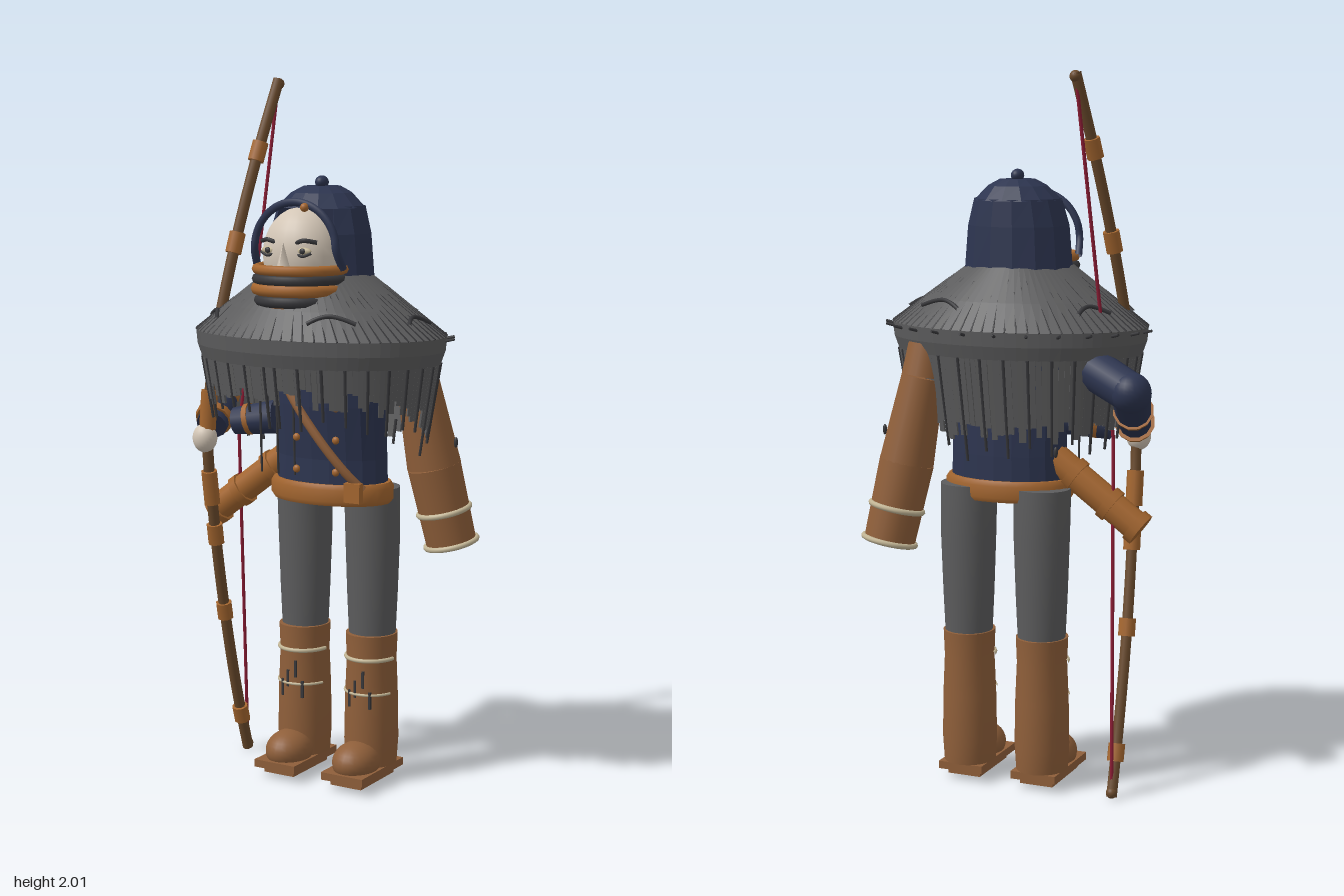
import * as THREE from 'three';

const mat = (name, color, double) => {
  const m = new THREE.MeshStandardMaterial({ color });
  m.name = name;
  if (double) m.side = THREE.DoubleSide;
  return m;
};
const V = (x, y, z) => new THREE.Vector3(x, y, z);

// skin through elliptical rings [y, cx, cz, rx, rz]; angle 0 faces +z
function loft(rings, seg = 32, flat = false, a0 = 0, a1 = Math.PI * 2, caps = true) {
  const pos = [], idx = [], full = a1 - a0 > 6.28, n = full ? seg : seg + 1;
  const ring = ([y, cx, cz, rx, rz]) => {
    for (let i = 0; i < n; i++) {
      const a = a0 + (a1 - a0) * i / seg;
      pos.push(cx + rx * Math.sin(a), y, cz + rz * Math.cos(a));
    }
  };
  rings.forEach(ring);
  for (let r = 0; r < rings.length - 1; r++) for (let i = 0; i < seg; i++) {
    const a = r * n + i, b = r * n + (i + 1) % n;
    idx.push(a, b, b + n, a, b + n, a + n);
  }
  if (caps && full) [rings[0], rings[rings.length - 1]].forEach((r, k) => {
    const s = pos.length / 3;
    ring(r);
    pos.push(r[1], r[0], r[2]);
    for (let i = 0; i < n; i++) {
      const j = (i + 1) % n;
      if (k) idx.push(s + i, s + j, s + n); else idx.push(s + j, s + i, s + n);
    }
  });
  let g = new THREE.BufferGeometry();
  g.setAttribute('position', new THREE.Float32BufferAttribute(pos, 3));
  g.setIndex(idx);
  if (flat) g = g.toNonIndexed();
  g.computeVertexNormals();
  return g;
}

export function createModel() {
  const root = new THREE.Group();
  root.name = 'hoodedArcher';
  const navy = mat('navy cloth', 0x2d3550, true), grey = mat('grey wool', 0x5c5c5d, true);
  const dark = mat('charcoal', 0x37373a), leather = mat('brown leather', 0x8f5f3a);
  const tan = mat('tan leather', 0xa4662f), wood = mat('bow wood', 0x6a4a2c);
  const cream = mat('cream cord', 0xc2b595), skin = mat('skin', 0xd3c6b6), red = mat('red string', 0x8c1c34);
  const CX = 0.035;
  let seed = 7;
  const rnd = () => (seed = (seed * 16807) % 2147483647) / 2147483647;

  const add = (name, geo, m, x = 0, y = 0, z = 0, parent = root) => {
    const o = new THREE.Mesh(geo, m);
    o.name = name;
    o.position.set(x, y, z);
    parent.add(o);
    return o;
  };
  // cylinder from a to b
  const rod = (name, a, b, ra, rb, m, seg = 20) => {
    const d = b.clone().sub(a), c = a.clone().add(b).multiplyScalar(0.5);
    const o = add(name, new THREE.CylinderGeometry(rb, ra, d.length(), seg), m, c.x, c.y, c.z);
    o.quaternion.setFromUnitVectors(V(0, 1, 0), d.normalize());
    return o;
  };
  const ball = (name, m, x, y, z, rx, ry = rx, rz = rx) => {
    const o = add(name, new THREE.SphereGeometry(1, 24, 16), m, x, y, z);
    o.scale.set(rx, ry, rz);
    return o;
  };
  const tube = (name, pts, r, m, seg = 24, closed = false) =>
    add(name, new THREE.TubeGeometry(new THREE.CatmullRomCurve3(pts, closed), seg, r, 8, closed), m);
  const hoop = (name, x, y, z, rx, rz, r, m, a0 = 0, a1 = Math.PI * 2) => {
    const closed = a1 - a0 > 6.28, pts = [];
    for (let i = 0; i < 20 + (closed ? 0 : 1); i++) {
      const a = a0 + (a1 - a0) * i / 20;
      pts.push(V(x + rx * Math.sin(a), y, z + rz * Math.cos(a)));
    }
    return tube(name, pts, r, m, 48, closed);
  };

  // legs and boots
  for (const x of [-0.085, 0.14]) {
    add('trouserLeg', loft([[0.4, x, -0.095, 0.066, 0.066], [0.55, x, -0.095, 0.073, 0.072],
      [0.72, x, -0.095, 0.079, 0.077], [0.86, x, -0.09, 0.08, 0.08]]), grey);
    add('bootShaft', loft([[0.05, x, -0.09, 0.073, 0.08], [0.12, x, -0.092, 0.077, 0.083], [0.25, x, -0.092, 0.075, 0.08],
      [0.36, x, -0.092, 0.07, 0.077], [0.435, x, -0.092, 0.073, 0.08]]), leather);
    ball('bootToe', leather, x, 0.07, -0.005, 0.066, 0.058, 0.08);
    add('sole', new THREE.BoxGeometry(0.135, 0.022, 0.24), leather, x, 0.039, -0.04);
    add('heel', new THREE.BoxGeometry(0.1, 0.02, 0.19), leather, x, 0.019, -0.04);
    hoop('bootCord', x, 0.365, -0.092, 0.072, 0.079, 0.006, cream, -1.5, 1.5);
    hoop('bootCordLower', x, 0.265, -0.092, 0.075, 0.08, 0.004, cream, -1.3, 1.3);
    [-0.03, -0.01, 0.015, 0.035].forEach((d, i) =>
      add('lace', new THREE.BoxGeometry(0.007, 0.05, 0.008), dark, x + d, 0.25 + (i % 3) * 0.03, -0.013 - Math.abs(d) * 0.2));
  }

  // coat, belt, strap and buttons
  add('coat', loft([[0.83, CX, -0.045, 0.172, 0.112], [0.95, CX, -0.045, 0.168, 0.112], [1.1, CX, -0.035, 0.168, 0.118],
    [1.25, CX, -0.03, 0.17, 0.12], [1.36, CX, -0.01, 0.12, 0.1]], 20, true), navy);
  add('belt', loft([[0.822, CX, -0.045, 0.18, 0.118], [0.835, CX, -0.045, 0.189, 0.125],
    [0.868, CX, -0.045, 0.189, 0.125], [0.882, CX, -0.045, 0.18, 0.118]]), tan);
  add('buckle', new THREE.BoxGeometry(0.05, 0.055, 0.02), tan, 0.165, 0.865, 0.06);
  const strap = [];
  for (let i = 0; i <= 8; i++) {
    const x = -0.1 + 0.28 * i / 8;
    strap.push(V(x, 1.22 - 0.35 * i / 8, -0.037 + 0.122 * Math.sqrt(1 - ((x - CX) / 0.178) ** 2)));
  }
  tube('chestStrap', strap, 0.013, leather);
  for (const x of [-0.012, 0.115]) for (const y of [0.92, 1.01, 1.1])
    ball('button', tan, x, y, 0.072, 0.011, 0.011, 0.008);

  // left arm in a wide sleeve
  const sleeve = [V(0.245, 1.25, -0.13), V(0.255, 1.16, -0.145), V(0.295, 0.92, -0.172), V(0.337, 0.69, -0.205)];
  rod('leftShoulder', V(0.15, 1.27, -0.05), sleeve[0], 0.06, 0.06, leather);
  rod('leftUpperSleeve', sleeve[0], sleeve[1], 0.056, 0.061, leather);
  rod('leftMidSleeve', sleeve[1], sleeve[2], 0.061, 0.077, leather);
  rod('leftLowerSleeve', sleeve[2], sleeve[3], 0.077, 0.072, leather);
  const axis = sleeve[3].clone().sub(sleeve[2]).normalize();
  for (const t of [0.56, 0.97]) {
    const p = sleeve[2].clone().lerp(sleeve[3], t);
    add('sleeveCord', new THREE.TorusGeometry(0.074, 0.008, 8, 32), cream, p.x, p.y, p.z)
      .quaternion.setFromUnitVectors(V(0, 0, 1), axis);
  }
  for (const d of [0, 0.02])
    rod('redTassel', V(0.26 + d, 1.13, -0.08), V(0.3 + d, 1.17, -0.07), 0.004, 0.004, red, 6);

  // right arm reaching back at the elbow and forward to the bow
  const elbow = V(-0.365, 1.15, -0.145), wrist = V(-0.3, 1.02, 0.07);
  rod('rightUpperArm', V(-0.1, 1.25, -0.02), elbow, 0.06, 0.055, navy, 12);
  ball('elbow', navy, elbow.x, elbow.y, elbow.z, 0.056);
  rod('rightForearm', elbow, wrist, 0.055, 0.045, navy, 12);
  for (const t of [0.5, 0.85]) {
    const p = elbow.clone().lerp(wrist, t), q = elbow.clone().lerp(wrist, t + 0.07);
    rod('rightCuff', p, q, 0.057, 0.053, tan, 12);
  }
  ball('rightHand', skin, -0.293, 0.99, 0.115, 0.036, 0.042, 0.034);
  rod('coatFlap', V(-0.12, 1.05, 0), V(-0.25, 1.03, 0.02), 0.05, 0.04, navy, 12);
  rod('coatFlapBand', V(-0.2, 1.04, 0.012), V(-0.215, 1.037, 0.015), 0.047, 0.045, tan, 12);

  // quiver at the right hip
  const q0 = V(-0.1, 0.945, -0.05), q1 = V(-0.355, 0.75, -0.03);
  rod('quiver', q0, q1, 0.042, 0.042, tan, 10);
  for (const t of [0.25, 0.65, 0.96])
    rod('quiverBand', q0.clone().lerp(q1, t - 0.04), q0.clone().lerp(q1, t + 0.04), 0.049, 0.049, tan, 10);

  // bow, bindings and drawn string
  const bow = new THREE.CatmullRomCurve3([V(-0.195, 2, -0.13), V(-0.22, 1.79, -0.055), V(-0.25, 1.52, 0.025), V(-0.272, 1.25, 0.09),
    V(-0.287, 1, 0.11), V(-0.295, 0.75, 0.07), V(-0.305, 0.45, 0), V(-0.308, 0.2, -0.065), V(-0.312, 0.005, -0.13)]);
  add('bow', new THREE.TubeGeometry(bow, 60, 0.016, 8), wood);
  for (const t of [0, 1]) {
    const p = bow.getPoint(t);
    ball('bowTip', wood, p.x, p.y + (t ? 0.012 : -0.012), p.z, 0.016);
  }
  for (const [t, h] of [[0.105, 0.028], [0.235, 0.03], [0.47, 0.06], [0.58, 0.05], [0.65, 0.03], [0.77, 0.025], [0.94, 0.025]]) {
    const p = bow.getPointAt(t), d = bow.getTangentAt(t).multiplyScalar(h);
    rod('bowBinding', p.clone().sub(d), p.clone().add(d), 0.024, 0.024, tan, 8);
  }
  const nock = V(-0.272, 1, -0.03);
  rod('upperString', bow.getPoint(0), nock, 0.005, 0.005, red, 6);
  rod('lowerString', nock, bow.getPoint(1), 0.005, 0.005, red, 6);

  // pleated cape
  const capeRings = [[1.215, CX, 0.025, 0.355, 0.24], [1.265, CX, 0.025, 0.373, 0.255], [1.305, CX, 0.025, 0.377, 0.258],
    [1.38, CX, 0.03, 0.275, 0.213], [1.47, CX, 0.035, 0.15, 0.14]];
  add('cape', loft(capeRings, 72, true, 0, Math.PI * 2, false), grey);
  const onCape = (a, t, lift = 0.004) => {
    const [r, s] = t < 0.45 ? [capeRings[2], capeRings[3]] : [capeRings[3], capeRings[4]];
    const k = t < 0.45 ? t / 0.45 : (t - 0.45) / 0.55, e = r.map((v, i) => v + (s[i] - v) * k);
    return V(e[1] + e[3] * Math.sin(a), e[0] + lift, e[2] + e[4] * Math.cos(a));
  };
  for (let i = 0; i < 72; i++) {
    const a = i * Math.PI / 36;
    rod('pleat', onCape(a, 0, 0), onCape(a, 0.35 + 0.5 * rnd(), 0), 0.003, 0.001, dark, 4);
  }
  for (const [a, b, t] of [[-1.35, -0.75, 0.2], [0.3, 0.75, 0.25], [1.3, 1.75, 0.2], [2.3, 2.85, 0.3], [-2.3, -1.9, 0.25]]) {
    const pts = [0, 0.25, 0.5, 0.75, 1].map(k => onCape(a + (b - a) * k, t + 0.12 * Math.sin(k * Math.PI)));
    tube('capeFold', pts, 0.006, dark, 16);
  }
  // fringe: dense strips, longer to the rear, with loose threads
  for (let i = 0; i < 130; i++) {
    const a = i * Math.PI * 2 / 130, back = (1 - Math.cos(a)) / 2;
    const len = 0.05 + 0.14 * back + rnd() * 0.06, w = 0.014 + rnd() * 0.006;
    const p = V(CX + 0.357 * Math.sin(a), 1.23, 0.025 + 0.241 * Math.cos(a));
    const g = new THREE.Group();
    g.name = 'fringe';
    g.position.copy(p);
    g.rotation.set(0.16, Math.atan2(Math.sin(a) / 0.357, Math.cos(a) / 0.241), 0, 'YXZ');
    root.add(g);
    add('fringeStrip', new THREE.BoxGeometry(w, len, 0.006), grey, 0, -len / 2, 0, g);
    if (i % 4 === 0) {
      const l = len + 0.03 + rnd() * 0.05;
      add('looseThread', new THREE.CylinderGeometry(0.005, 0.004, l, 6), dark, 0.004, -l / 2, 0.002, g);
    }
    if (i % 5 === 2 && back > 0.5)
      rod('hemKnot', V(p.x, 1.29, p.z), V(CX + 0.4 * Math.sin(a), 1.3, 0.025 + 0.278 * Math.cos(a)), 0.005, 0.004, dark, 6);
  }
  for (const x of [-0.13, -0.075, -0.02])
    rod('hangingThread', V(x, 1.2, 0.08), V(x, 0.9, 0.068), 0.004, 0.003, dark, 6);
  for (const [x, z] of [[-0.205, -0.285], [0.385, -0.13]]) ball('looseBead', dark, x, 1, z, 0.006, 0.015, 0.006);

  // head and face
  ball('head', skin, CX, 1.525, 0.115, 0.112, 0.13, 0.1);
  for (const s of [-1, 1]) {
    const x = CX + s * 0.055;
    tube('brow', [V(x - 0.032, 1.56 - s * 0.003, 0.197 - (s < 0 ? 0.014 : 0)), V(x, 1.568, 0.204),
      V(x + 0.032, 1.56 + s * 0.003, 0.197 - (s > 0 ? 0.014 : 0))], 0.006, dark, 12);
    ball('eye', cream, x, 1.54, 0.2, 0.024, 0.01, 0.008);
    ball('pupil', dark, x, 1.54, 0.206, 0.009, 0.008, 0.005);
    tube('lowerLid', [V(x - 0.025, 1.535, 0.2), V(x, 1.526, 0.207), V(x + 0.025, 1.535, 0.2)], 0.004, dark, 12);
  }
  add('nose', new THREE.ConeGeometry(0.024, 0.075, 4), skin, CX, 1.525, 0.215);

  // layered face wrap
  add('wrapLining', loft([[1.385, CX, 0.125, 0.118, 0.115], [1.49, CX, 0.125, 0.123, 0.117]]), leather);
  [[1.487, tan, 0.014], [1.46, dark, 0.014], [1.433, tan, 0.017], [1.402, dark, 0.015]].forEach(([y, m, r], i) =>
    hoop('wrapBand', CX, y, 0.125, 0.121 - (i === 3 ? 0.008 : 0), 0.118, r, m));

  // faceted hood with open front, crown, button and rim
  add('hood', loft([[1.45, CX, 0.02, 0.157, 0.128], [1.58, CX, 0.02, 0.146, 0.122], [1.655, CX, 0.015, 0.125, 0.11]],
    11, true, 0.75, Math.PI * 2 - 0.75), navy);
  add('hoodCrown', loft([[1.65, CX, 0.02, 0.126, 0.118], [1.69, CX, 0.015, 0.085, 0.085], [1.708, CX, 0.013, 0.05, 0.055]],
    14, true), navy);
  ball('hoodButton', navy, CX, 1.718, 0.013, 0.018, 0.018, 0.022);
  const rim = [V(CX - 0.137, 1.49, 0.13)];
  for (let i = 0; i <= 10; i++) {
    const a = Math.PI * (1 - i / 10);
    rim.push(V(CX + 0.13 * Math.cos(a), 1.54 + 0.128 * Math.sin(a), 0.155));
  }
  rim.push(V(CX + 0.137, 1.49, 0.13));
  tube('hoodRim', rim, 0.011, navy, 40);
  ball('rimStud', tan, 0.072, 1.655, 0.166, 0.012);

  return root;
}
